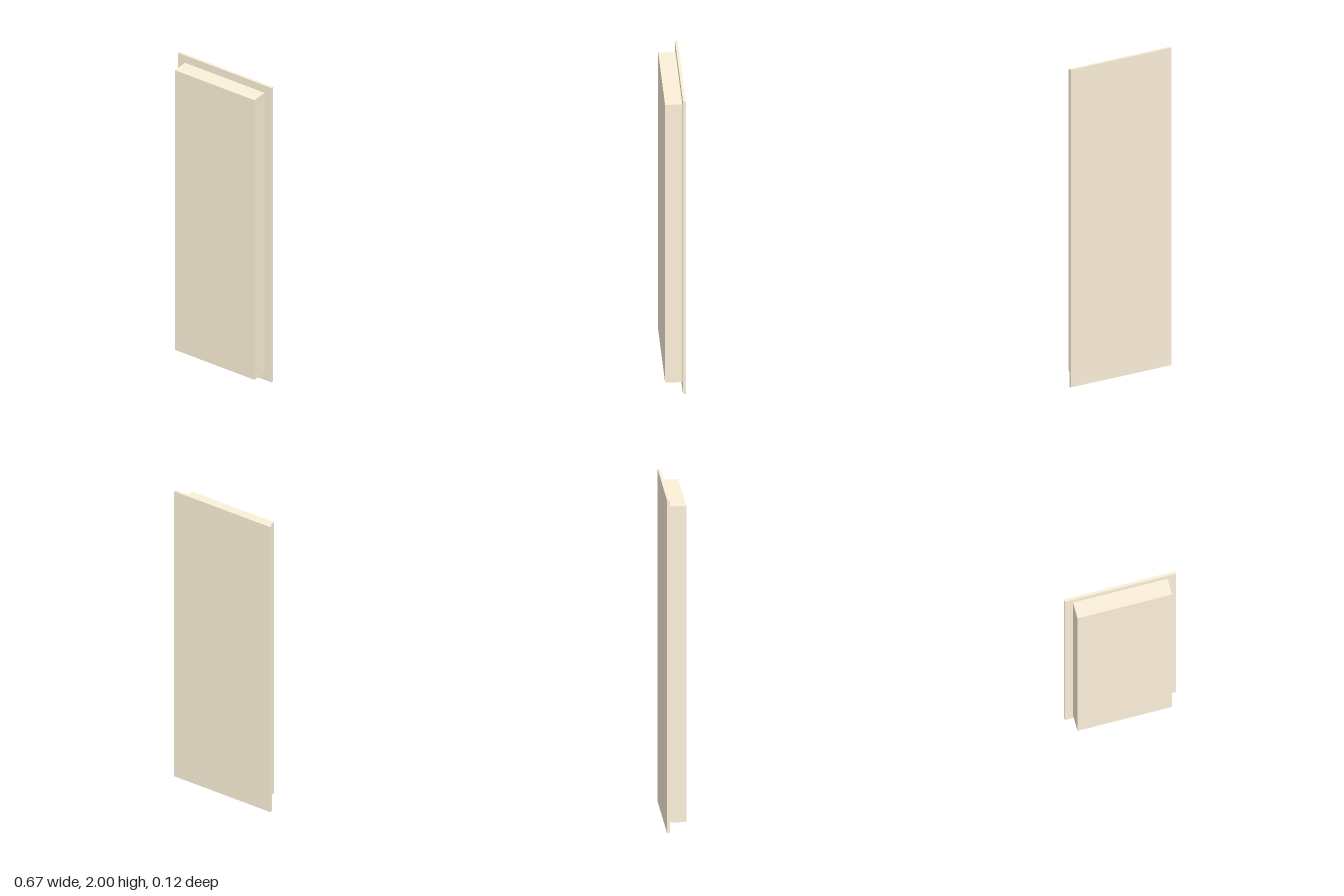
import * as THREE from 'three';

const HEIGHT = 2;
const WIDTH = 0.666;
const BACK = -0.058; // rear face of the plate
const PLATE_DEPTH = 0.016;
const PANEL_DEPTH = 0.1;
const MARGIN = 0.05; // plate border visible around the panel

export function createModel() {
  const group = new THREE.Group();
  const material = new THREE.MeshStandardMaterial({ color: 0xfcf0d9 });

  // Adds a box centred on the model's mid-height, with its rear face at z = back
  const addSlab = (name, width, height, depth, back) => {
    const slab = new THREE.Mesh(new THREE.BoxGeometry(width, height, depth), material);
    slab.name = name;
    slab.position.set(0, HEIGHT / 2, back + depth / 2);
    group.add(slab);
  };

  // Thin backing plate
  addSlab('backPlate', WIDTH, HEIGHT, PLATE_DEPTH, BACK);

  // Thick raised panel on the front, inset evenly from the plate's edges
  addSlab('raisedPanel', WIDTH - 2 * MARGIN, HEIGHT - 2 * MARGIN, PANEL_DEPTH, BACK + PLATE_DEPTH);

  return group;
}
